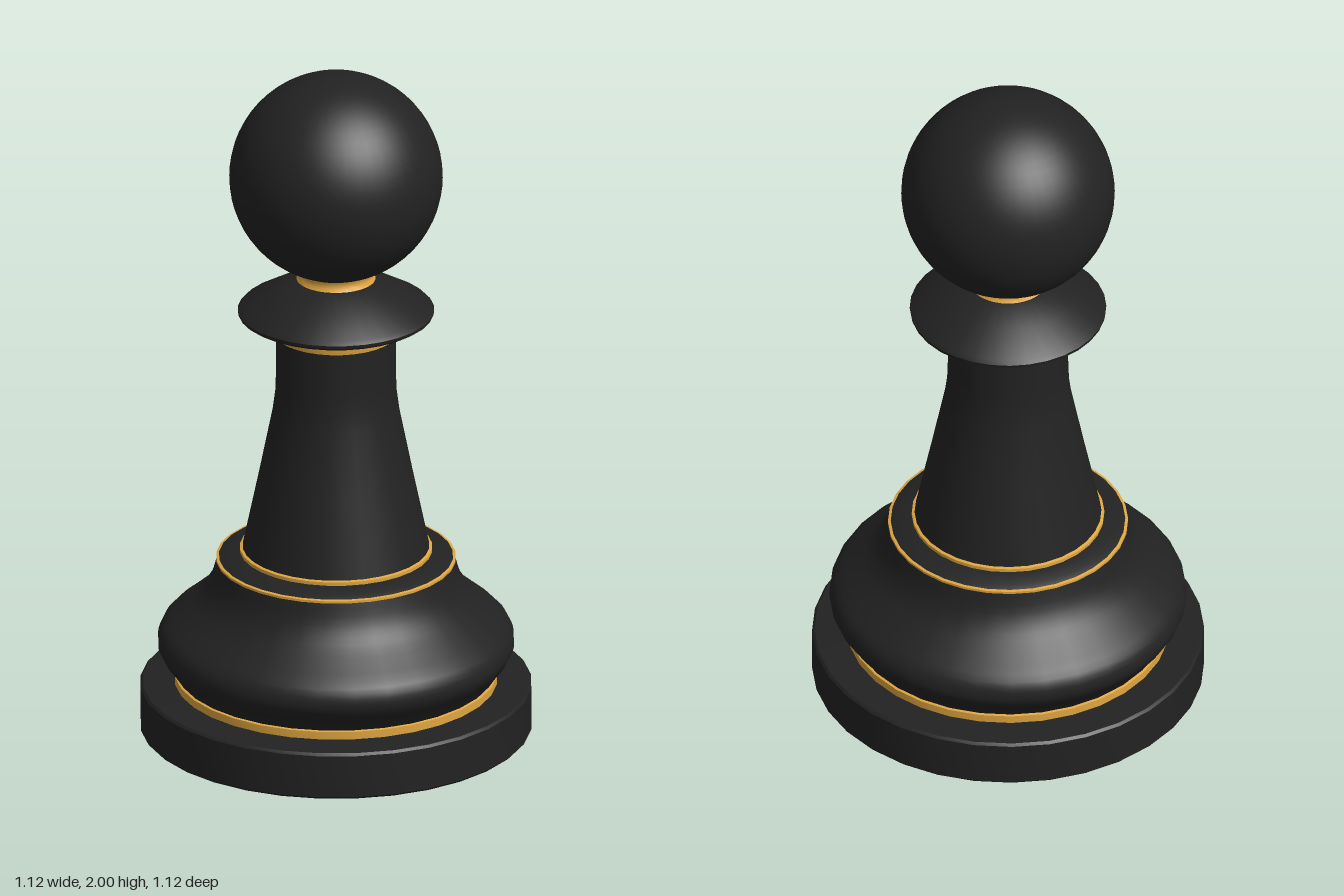
import * as THREE from 'three';
import { toCreasedNormals } from 'three/addons/utils/BufferGeometryUtils.js';

const SIDES = 32;

export function createModel() {
  const model = new THREE.Group();
  const black = new THREE.MeshStandardMaterial({ color: 0x222222 });
  const gold = new THREE.MeshStandardMaterial({ color: 0xe0a640 });

  // Turned part: [radius, height] pairs from bottom to top
  function turned(name, material, profile) {
    const points = profile.map(([r, y]) => new THREE.Vector2(r, y));
    const geometry = toCreasedNormals(new THREE.LatheGeometry(points, SIDES), 0.6);
    const mesh = new THREE.Mesh(geometry, material);
    mesh.name = name;
    model.add(mesh);
  }

  // Plinth with slightly eased edges
  turned('base', black, [
    [0, 0], [0.553, 0], [0.56, 0.007], [0.56, 0.133], [0.553, 0.14], [0.44, 0.145],
  ]);
  turned('baseRing', gold, [[0.44, 0.14], [0.462, 0.145], [0.462, 0.168], [0.455, 0.17]]);

  // Bulging foot, smoothed through a few points
  const foot = new THREE.SplineCurve([
    [0.455, 0.17], [0.475, 0.2], [0.502, 0.237], [0.51, 0.27], [0.495, 0.312],
    [0.44, 0.36], [0.39, 0.405], [0.358, 0.455], [0.34, 0.515],
  ].map(([r, y]) => new THREE.Vector2(r, y)));
  turned('foot', black, foot.getPoints(24).map((p) => [p.x, p.y]));
  turned('shoulderRing', gold, [[0.335, 0.514], [0.343, 0.516], [0.343, 0.523], [0.335, 0.525]]);
  turned('shoulder', black, [[0.335, 0.525], [0.32, 0.532], [0.285, 0.54], [0.265, 0.543]]);
  turned('stemRing', gold, [[0.265, 0.541], [0.275, 0.543], [0.275, 0.553], [0.265, 0.556]]);

  // Tapering stem, straight at the top
  turned('stem', black, [
    [0.268, 0.55], [0.22, 0.78], [0.182, 0.97], [0.174, 1.03], [0.172, 1.09], [0.172, 1.217],
  ]);
  turned('collarRing', gold, [[0.17, 1.213], [0.178, 1.215], [0.181, 1.24], [0.17, 1.24]]);

  // Flared collar
  turned('collar', black, [
    [0.15, 1.237], [0.185, 1.24], [0.265, 1.266], [0.279, 1.275], [0.281, 1.285],
    [0.27, 1.296], [0.19, 1.342], [0.118, 1.38], [0.09, 1.382],
  ]);
  turned('neckRing', gold, [
    [0.09, 1.38], [0.113, 1.381], [0.107, 1.39], [0.106, 1.4], [0.109, 1.41], [0.115, 1.42],
  ]);

  // Ball head
  const head = new THREE.Mesh(new THREE.SphereGeometry(0.305, 48, 32), black);
  head.name = 'head';
  head.position.y = 1.695;
  model.add(head);

  return model;
}
